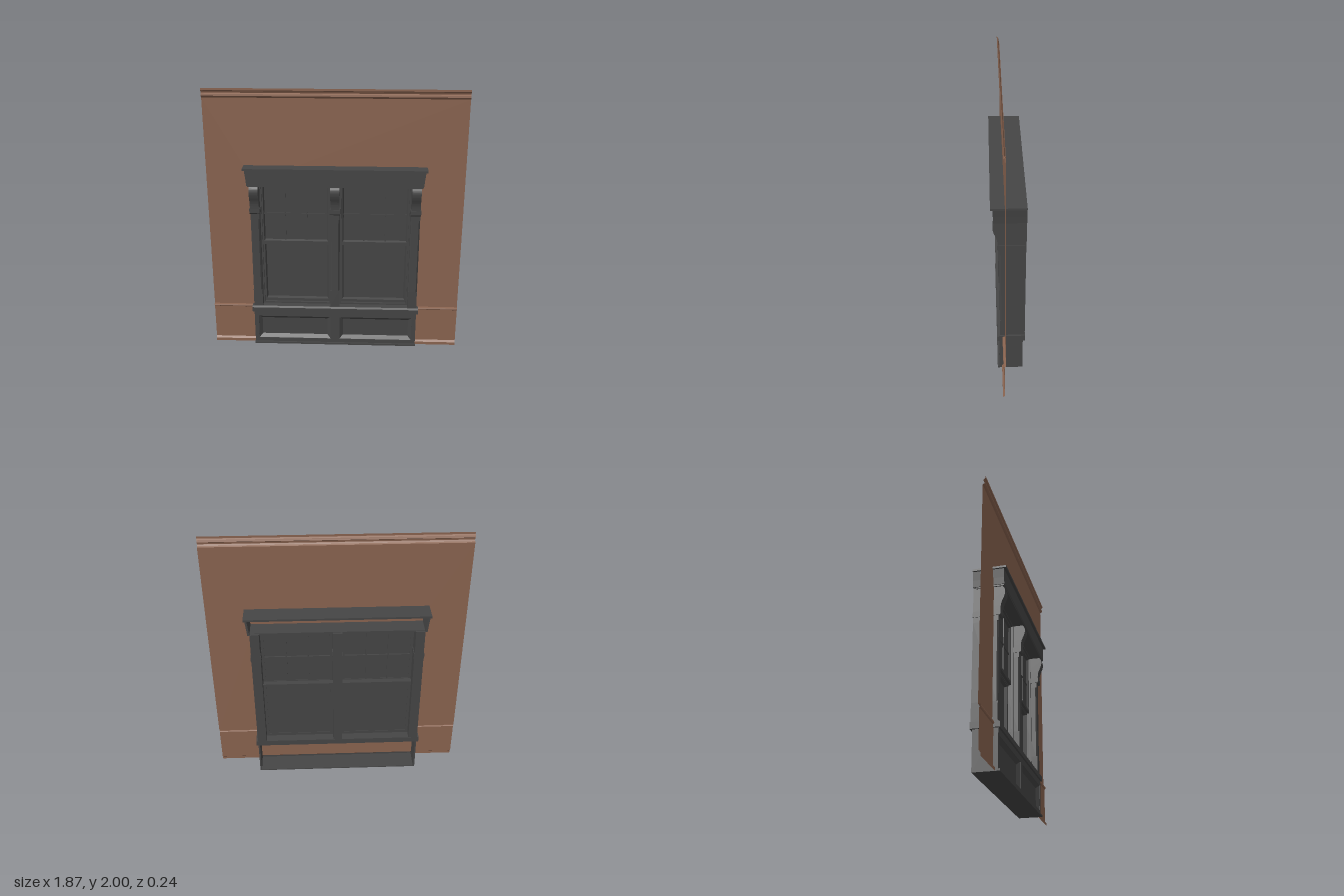
import * as THREE from 'three';

const wallPaint = new THREE.MeshStandardMaterial({ color: 0x8a6450, side: THREE.DoubleSide });
wallPaint.name = 'wall brown';
const trim = new THREE.MeshStandardMaterial({ color: 0x454545, side: THREE.DoubleSide });
trim.name = 'charcoal trim';

export function createModel() {
  const model = new THREE.Group();
  model.name = 'doubleWindowWall';

  const add = (name, geo, mat = trim) => {
    const m = new THREE.Mesh(geo, mat);
    m.name = name;
    model.add(m);
    return m;
  };
  // Box given by its limits
  const box = (name, x0, x1, y0, y1, z0, z1) =>
    add(name, new THREE.BoxGeometry(x1 - x0, y1 - y0, z1 - z0)
      .translate((x0 + x1) / 2, (y0 + y1) / 2, (z0 + z1) / 2));
  const pts = (list) => list.map(([x, y]) => new THREE.Vector2(x, y));
  const rect = (x0, x1, y0, y1) => pts([[x0, y0], [x1, y0], [x1, y1], [x0, y1]]);
  // Front outline with optional holes, extruded from z0 to z1
  const prism = (name, outline, holes, z0, z1) => {
    const s = new THREE.Shape(outline);
    holes.forEach((h) => s.holes.push(new THREE.Path(h)));
    return add(name, new THREE.ExtrudeGeometry(s, { depth: z1 - z0, bevelEnabled: false }).translate(0, 0, z0));
  };
  // Side outline (z, y) extruded across x around a centre
  const sideProfile = (name, outline, cx, width) =>
    add(name, new THREE.ExtrudeGeometry(new THREE.Shape(outline), { depth: width, bevelEnabled: false })
      .translate(0, 0, -width / 2).rotateY(-Math.PI / 2).translate(cx, 0, 0));
  // Open moulding sheet running the full wall width, profile as (z, y)
  const W = 0.935;
  const moulding = (name, profile) => {
    const g = new THREE.PlaneGeometry(2 * W, 1, 1, profile.length - 1);
    const p = g.attributes.position;
    for (let i = 0; i < p.count; i++) {
      const [z, y] = profile[Math.floor(i / 2)];
      p.setY(i, y);
      p.setZ(i, z);
    }
    const flat = g.toNonIndexed();
    flat.computeVertexNormals();
    add(name, flat, wallPaint);
  };
  // Sloping picture frame between an outer and an inner rectangle
  const slopedFrame = (name, [x0, x1, y0, y1], inset, zOut, zIn) => {
    const g = new THREE.PlaneGeometry(1, 1, 4, 1);
    const p = g.attributes.position;
    const corners = [[x0, y0, 1, 1], [x1, y0, -1, 1], [x1, y1, -1, -1], [x0, y1, 1, -1], [x0, y0, 1, 1]];
    for (let i = 0; i < 10; i++) {
      const [x, y, dx, dy] = corners[i % 5];
      const k = i < 5 ? inset : 0;
      p.setXYZ(i, x + dx * k, y + dy * k, i < 5 ? zIn : zOut);
    }
    const flat = g.toNonIndexed();
    flat.computeVertexNormals();
    add(name, flat);
  };

  // Wall sheet with the window opening
  const wall = new THREE.Shape(rect(-W, W, 0.32, 1.93));
  wall.holes.push(new THREE.Path(rect(-0.59, 0.59, 0.325, 1.31)));
  add('wall', new THREE.ShapeGeometry(wall).translate(0, 0, 0.025), wallPaint);
  moulding('crownMoulding', [[0.045, 2], [0.045, 1.985], [0.036, 1.978], [0.03, 1.965],
    [0.04, 1.958], [0.042, 1.945], [0.034, 1.936], [0.025, 1.93]]);
  moulding('wainscot', [[0.025, 0.32], [0.04, 0.318], [0.043, 0.31], [0.04, 0.302], [0.033, 0.298],
    [0.033, 0.035], [0.04, 0.028], [0.046, 0.022], [0.046, 0]]);

  // Base box under the sill, open at the back
  const panels = [[-0.59, -0.035, 0.045, 0.235], [0.035, 0.59, 0.045, 0.235]];
  prism('baseFrame', rect(-0.622, 0.622, 0, 0.28), panels.map((r) => rect(...r)), 0.045, 0.065);
  for (const r of panels) {
    slopedFrame('panelBevel', r, 0.025, 0.062, 0.04);
    box('basePanel', r[0], r[1], r[2], r[3], 0.036, 0.04);
  }
  for (const s of [-1, 1]) {
    const xs = [s * 0.61, s * 0.622].sort((a, b) => a - b);
    box('baseSide', ...xs, 0, 0.28, -0.105, 0.05);
  }
  box('baseFloor', -0.622, 0.622, 0, 0.008, -0.105, 0.065);
  box('plinth', -0.625, 0.625, 0, 0.014, 0.06, 0.078);

  // Sill with a slightly sloping front
  sideProfile('sill', pts([[-0.12, 0.28], [0.078, 0.28], [0.078, 0.315], [0.065, 0.325], [-0.12, 0.325]]), 0, 1.27);

  // Posts with chamfered shafts, neck blocks and scroll brackets
  const scroll = new THREE.Shape();
  scroll.moveTo(-0.12, 1.12);
  scroll.lineTo(0.072, 1.12);
  scroll.bezierCurveTo(0.074, 1.19, 0.09, 1.19, 0.102, 1.235);
  scroll.bezierCurveTo(0.11, 1.265, 0.1, 1.295, 0.08, 1.305);
  scroll.lineTo(0.08, 1.312);
  scroll.lineTo(-0.12, 1.312);
  const bracket = scroll.getPoints(8);
  for (const cx of [-0.588, 0, 0.588]) {
    const h = 0.034, c = 0.01;
    box('postFoot', cx - h, cx + h, 0.325, 0.46, -0.118, 0.06);
    const shaft = pts([[-h, 0.118], [h, 0.118], [h, -0.06 + c], [h - c, -0.06], [c - h, -0.06], [-h, -0.06 + c]]);
    add('postShaft', new THREE.ExtrudeGeometry(new THREE.Shape(shaft), { depth: 0.58, bevelEnabled: false })
      .rotateX(-Math.PI / 2).translate(cx, 0.46, 0));
    box('postTop', cx - h, cx + h, 1.04, 1.12, -0.118, 0.06);
    sideProfile('neckBlock', pts([[-0.12, 1.08], [0.068, 1.08], [0.076, 1.09], [0.076, 1.122], [-0.12, 1.122]]), cx, 0.076);
    sideProfile('bracket', bracket, cx, 0.066);
  }

  // Header: soffit, flared fascia with side returns, and cap
  box('soffit', -0.63, 0.63, 1.3, 1.315, -0.1, 0.098);
  prism('fascia', pts([[-0.635, 1.31], [0.635, 1.31], [0.64, 1.36], [0.648, 1.425], [-0.648, 1.425], [-0.64, 1.36]]), [], 0.085, 0.102);
  for (const s of [-1, 1]) {
    prism('headerReturn', pts([[s * 0.62, 1.31], [s * 0.635, 1.31], [s * 0.64, 1.36], [s * 0.648, 1.425], [s * 0.633, 1.425]]),
      [], -0.12, 0.1);
  }
  box('cap', -0.66, 0.66, 1.425, 1.44, -0.12, 0.12);

  // Two sash windows
  for (const cx of [-0.294, 0.294]) {
    const sash = (name, y0, y1, z0, z1) => {
      const o = 0.262, w = 0.022;
      prism(name + 'Frame', rect(cx - o, cx + o, y0, y1),
        [rect(cx - o + w, cx + o - w, y0 + w, y1 - w)], z0, z1);
      slopedFrame(name + 'Bead', [cx - o + w, cx + o - w, y0 + w, y1 - w], 0.008, z1, z0 + 0.008);
      box(name + 'Glass', cx - o + w, cx + o - w, y0 + w, y1 - w, z0 + 0.004, z0 + 0.008);
    };
    sash('upperSash', 0.82, 1.305, -0.025, 0.0);
    sash('lowerSash', 0.325, 0.825, -0.055, -0.025);
    // Glazing bars dividing the upper sash three by two
    for (const dx of [-0.08, 0.08]) box('glazingBar', cx + dx - 0.005, cx + dx + 0.005, 0.84, 1.285, -0.032, -0.01);
    box('glazingCrossbar', cx - 0.24, cx + 0.24, 1.052, 1.062, -0.032, -0.01);
    box('meetingRail', cx - 0.262, cx + 0.262, 0.81, 0.835, -0.065, -0.02);
    // Stop strips around the opening
    prism('windowStop', rect(cx - 0.262, cx + 0.262, 0.325, 1.305),
      [rect(cx - 0.25, cx + 0.25, 0.337, 1.293)], 0.0, 0.015);
  }
  return model;
}
